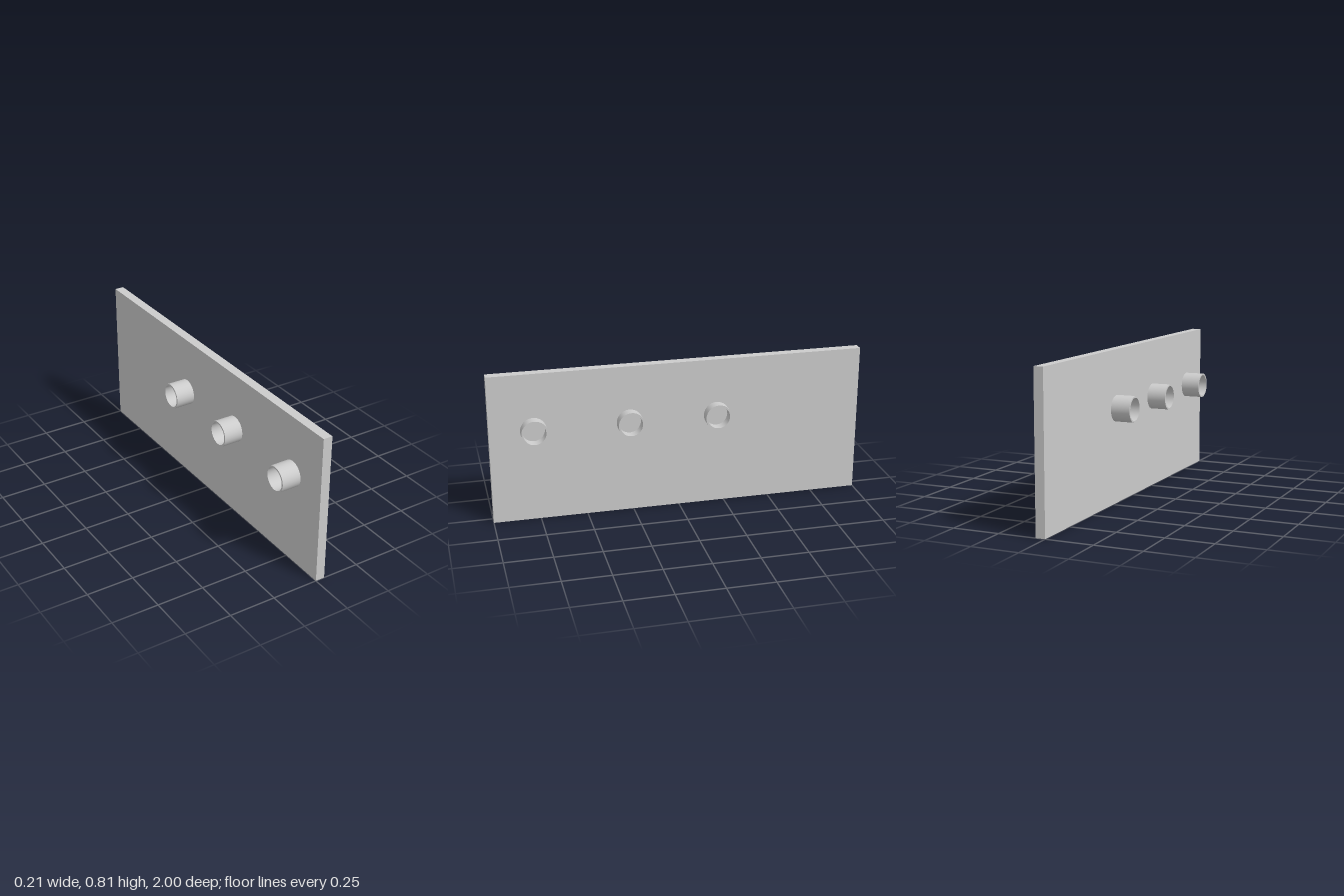
import * as THREE from 'three';
import { toCreasedNormals } from 'three/addons/utils/BufferGeometryUtils.js';

export function createModel() {
  const model = new THREE.Group();
  model.name = 'panelWithSleeves';
  const material = new THREE.MeshStandardMaterial({ color: 0xcccccc });

  // Solid upright panel
  const panel = new THREE.Mesh(new THREE.BoxGeometry(0.05, 0.81, 2), material);
  panel.name = 'panel';
  panel.position.set(0.025, 0.405, 0);
  model.add(panel);

  // Open sleeve: a ring extruded along x, longer on the -x side of the panel
  const length = 0.208;
  const ring = new THREE.Shape().absarc(0, 0, 0.069, 0, Math.PI * 2, false);
  ring.holes.push(new THREE.Path().absarc(0, 0, 0.06, 0, Math.PI * 2, true));
  const extruded = new THREE.ExtrudeGeometry(ring, {
    depth: length, bevelEnabled: false, curveSegments: 16,
  });
  extruded.translate(0, 0, -length / 2).rotateY(Math.PI / 2);
  const sleeveGeometry = toCreasedNormals(extruded, 0.5);

  // Three sleeves in a row
  [['frontSleeve', 0.77], ['middleSleeve', 0.265], ['rearSleeve', -0.205]].forEach(([name, z]) => {
    const sleeve = new THREE.Mesh(sleeveGeometry, material);
    sleeve.name = name;
    sleeve.position.set(0, 0.503, z);
    model.add(sleeve);
  });

  return model;
}
